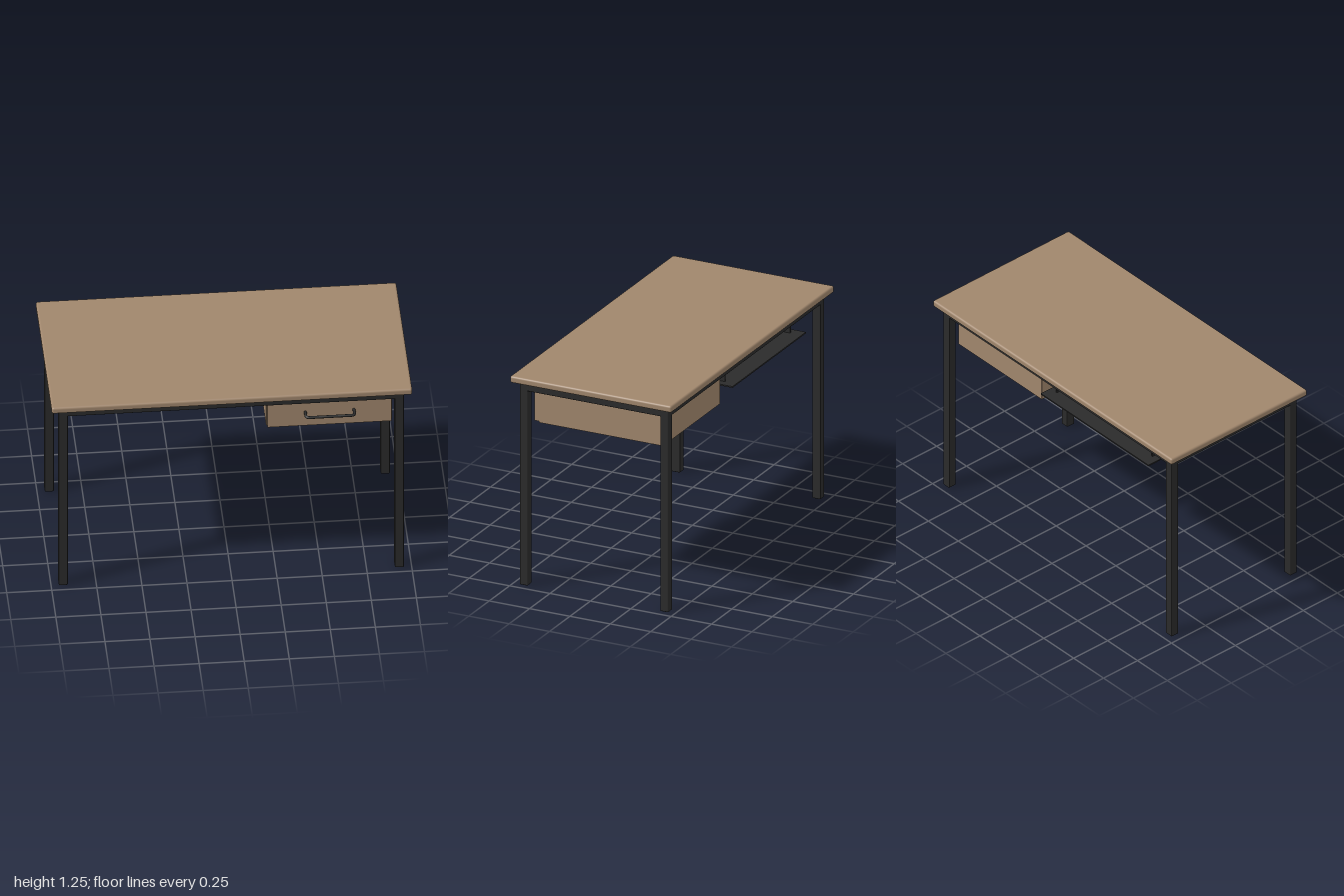
import * as THREE from 'three';
import { RoundedBoxGeometry } from 'three/addons/geometries/RoundedBoxGeometry.js';

export function createModel() {
  const desk = new THREE.Group();
  desk.name = 'desk';

  const wood = new THREE.MeshStandardMaterial({ color: 0xa0866c });
  wood.name = 'wood';
  const metal = new THREE.MeshStandardMaterial({ color: 0x2b2b2b });
  metal.name = 'blackMetal';

  const add = (name, geometry, material, x, y, z) => {
    const mesh = new THREE.Mesh(geometry, material);
    mesh.name = name;
    mesh.position.set(x, y, z);
    desk.add(mesh);
    return mesh;
  };
  // Box with softened edges, placed by its centre
  const block = (name, material, [w, h, d], [x, y, z], radius) =>
    add(name, new RoundedBoxGeometry(w, h, d, 3, radius), material, x, y, z);

  // Tabletop
  block('tabletop', wood, [2, 0.04, 1], [0, 1.23, 0], 0.012);

  // Legs and the rail frame between them
  const legX = 0.932, legZ = 0.435, bar = 0.05;
  for (const sx of [-1, 1]) {
    for (const sz of [-1, 1]) {
      block('leg', metal, [bar, 1.21, bar], [sx * legX, 0.605, sz * legZ], 0.005);
    }
    block('sideRail', metal, [bar, bar, 2 * legZ - bar + 0.01], [sx * legX, 1.185, 0], 0.004);
  }
  for (const sz of [-1, 1]) {
    block(sz > 0 ? 'frontRail' : 'backRail', metal,
      [2 * legX - bar + 0.01, bar, bar], [0, 1.185, sz * legZ], 0.004);
  }

  // Drawer case and front panel
  block('drawerCase', wood, [0.7, 0.2, 0.77], [0.55, 1.06, -0.015], 0.003);
  block('drawerFront', wood, [0.69, 0.19, 0.032], [0.55, 1.06, 0.384], 0.004);

  // Bow handle: two posts joined to a bar by rounded corners
  const half = 0.135, reach = 0.055, bend = 0.02;
  const v = (x, z) => new THREE.Vector3(x, 0, z);
  const path = new THREE.CurvePath();
  path.add(new THREE.LineCurve3(v(-half, -0.005), v(-half, reach - bend)));
  path.add(new THREE.QuadraticBezierCurve3(v(-half, reach - bend), v(-half, reach), v(bend - half, reach)));
  path.add(new THREE.LineCurve3(v(bend - half, reach), v(half - bend, reach)));
  path.add(new THREE.QuadraticBezierCurve3(v(half - bend, reach), v(half, reach), v(half, reach - bend)));
  path.add(new THREE.LineCurve3(v(half, reach - bend), v(half, -0.005)));
  add('drawerHandle', new THREE.TubeGeometry(path, 96, 0.008, 12), metal, 0.55, 1.06, 0.4);

  // Cable tray hung under the back on two thin brackets
  add('cableTray', new THREE.BoxGeometry(0.9, 0.008, 0.2), metal, -0.3, 1.05, -0.35);
  for (const x of [-0.7, 0.1]) {
    add('trayBracket', new THREE.BoxGeometry(0.008, 0.16, 0.06), metal, x, 1.13, -0.35);
  }

  return desk;
}
